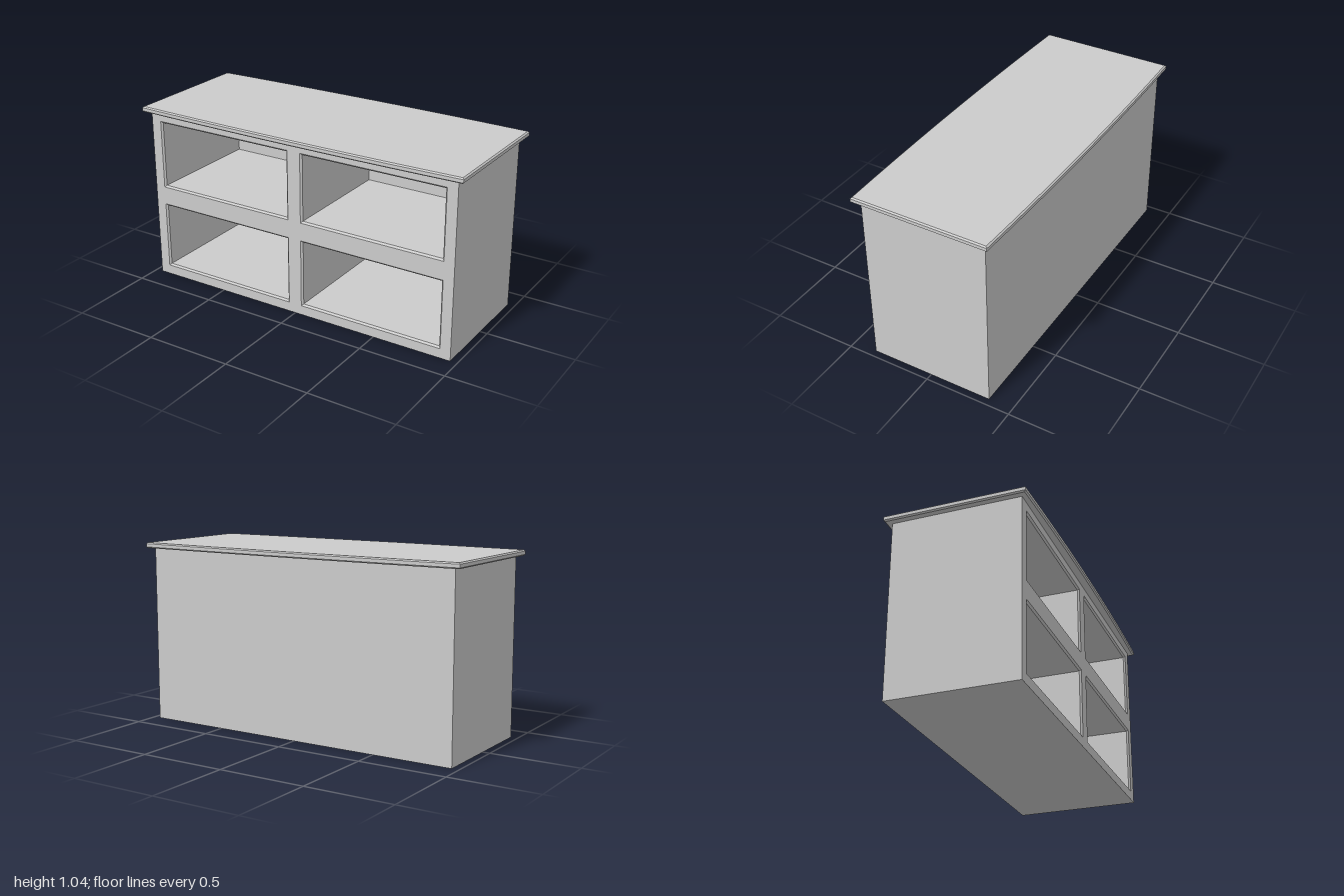
import * as THREE from 'three';

const material = new THREE.MeshStandardMaterial({ color: 0xcccccc, flatShading: true });

const WIDTH = 1.92, HEIGHT = 1.005, DEPTH = 0.72, FRONT = DEPTH / 2;
const COLUMNS = [[-0.9, -0.04], [0.04, 0.9]];
const ROWS = [[0.055, 0.452], [0.557, 0.957]];
const BEVEL = 0.01, NICHE_BACK = -0.345;

function addMesh(parent, name, geometry) {
  const mesh = new THREE.Mesh(geometry, material);
  mesh.name = name;
  parent.add(mesh);
  return mesh;
}

// Counter-clockwise corners of a rectangle, shrunk by an inset
function corners([x0, x1], [y0, y1], inset = 0) {
  const a = x0 + inset, b = x1 - inset, c = y0 + inset, d = y1 - inset;
  return [[a, c], [b, c], [b, d], [a, d]];
}

// Inside of one compartment: chamfered rim, four walls and a back
function nicheGeometry(cols, rows) {
  const loops = [[0, FRONT], [BEVEL, FRONT - BEVEL], [BEVEL, NICHE_BACK]];
  const positions = [], index = [];
  for (const [inset, z] of loops) {
    for (const [x, y] of corners(cols, rows, inset)) positions.push(x, y, z);
  }
  for (let l = 0; l < loops.length - 1; l++) {
    for (let i = 0; i < 4; i++) {
      const j = (i + 1) % 4;
      const a = l * 4 + i, b = l * 4 + j, c = a + 4, d = b + 4;
      index.push(a, b, d, a, d, c);
    }
  }
  const k = (loops.length - 1) * 4;
  index.push(k, k + 1, k + 2, k, k + 2, k + 3);
  const geometry = new THREE.BufferGeometry();
  geometry.setAttribute('position', new THREE.Float32BufferAttribute(positions, 3));
  geometry.setIndex(index);
  const flat = geometry.toNonIndexed();
  flat.computeVertexNormals();
  return flat;
}

export function createModel() {
  const model = new THREE.Group();
  model.name = 'openCabinet';

  // Outer carcass: a box without its front face
  const box = new THREE.BoxGeometry(WIDTH, HEIGHT, DEPTH);
  const faces = Array.from(box.index.array);
  faces.splice(24, 6);
  box.setIndex(faces);
  box.clearGroups();
  addMesh(model, 'carcass', box).position.y = HEIGHT / 2;

  // Front frame with four openings, each leading into a compartment
  const toPoints = (list) => list.map(([x, y]) => new THREE.Vector2(x, y));
  const frame = new THREE.Shape(toPoints(corners([-WIDTH / 2, WIDTH / 2], [0, HEIGHT])));
  ROWS.forEach((rows, r) => COLUMNS.forEach((cols, c) => {
    frame.holes.push(new THREE.Path(toPoints(corners(cols, rows).reverse())));
    const name = (r ? 'upper' : 'lower') + (c ? 'Left' : 'Right') + 'Compartment';
    addMesh(model, name, nicheGeometry(cols, rows));
  }));
  addMesh(model, 'frontFrame', new THREE.ShapeGeometry(frame)).position.z = FRONT;

  // Worktop: long sides gently bowed, chamfered edges
  const edge = 0.008, lip = 0.007, steps = 10;
  const halfX = 1 - edge, outline = [];
  for (const side of [-1, 1]) {
    for (let i = 0; i <= steps; i++) {
      const t = -1 + (2 * i) / steps;
      const z = 0.41 - 0.017 * t * t - edge;
      outline.push(new THREE.Vector2(-side * t * halfX, side * z));
    }
  }
  const top = new THREE.ExtrudeGeometry(new THREE.Shape(outline), {
    depth: 0.032 - 2 * lip, bevelEnabled: true, bevelSegments: 1,
    bevelSize: edge, bevelThickness: lip,
  });
  top.rotateX(-Math.PI / 2);
  addMesh(model, 'worktop', top).position.y = 1.004 + lip;

  return model;
}
